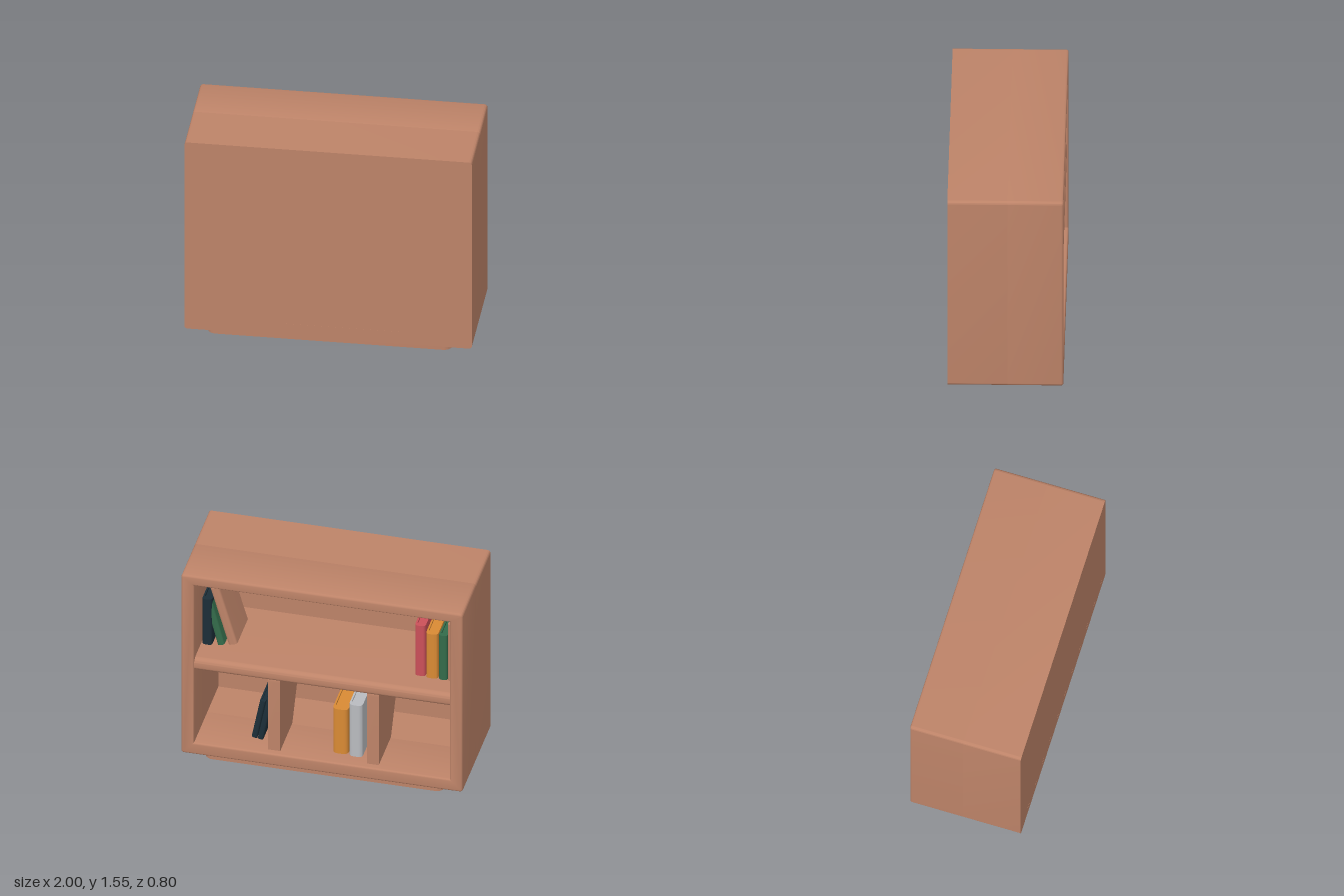
import * as THREE from 'three';
import { toCreasedNormals } from 'three/addons/utils/BufferGeometryUtils.js';

const mat = (name, color) => new THREE.MeshStandardMaterial({ name, color });

// Rounded rectangle traced counter-clockwise
function roundRect(target, x0, y0, x1, y1, r) {
  target.moveTo(x0 + r, y0);
  target.lineTo(x1 - r, y0);
  target.absarc(x1 - r, y0 + r, r, -Math.PI / 2, 0);
  target.lineTo(x1, y1 - r);
  target.absarc(x1 - r, y1 - r, r, 0, Math.PI / 2);
  target.lineTo(x0 + r, y1);
  target.absarc(x0 + r, y1 - r, r, Math.PI / 2, Math.PI);
  target.lineTo(x0, y0 + r);
  target.absarc(x0 + r, y0 + r, r, Math.PI, Math.PI * 1.5);
  return target;
}

function extrude(shape, depth, extra = {}) {
  const geo = new THREE.ExtrudeGeometry(shape, { depth, bevelEnabled: false, curveSegments: 6, ...extra });
  return toCreasedNormals(geo, 0.6);
}

export function createModel() {
  const wood = mat('brownWood', 0xbd8368);
  const navy = mat('navyCover', 0x1c2e38);
  const green = mat('greenCover', 0x336b4a);
  const red = mat('redCover', 0xcb5059);
  const orange = mat('orangeCover', 0xd98a34);
  const silver = mat('silverCover', 0xb9bbbf);

  const model = new THREE.Group();
  model.name = 'bookcase';
  const add = (name, geo, material, parent = model) => {
    const mesh = new THREE.Mesh(geo, material);
    mesh.name = name;
    parent.add(mesh);
    return mesh;
  };

  // Hollow case outline, optionally inset so a bevel restores its full size
  const frame = (inset) => {
    const shape = roundRect(new THREE.Shape(), -1 + inset, 0.055 + inset, 1 - inset, 1.55 - inset, 0.022 - inset);
    const hole = new THREE.Path();
    const [x, y0, y1] = [0.908 + inset, 0.15 - inset, 1.47 + inset];
    hole.moveTo(-x, y0);
    hole.lineTo(-x, y1);
    hole.lineTo(x, y1);
    hole.lineTo(x, y0);
    hole.closePath();
    shape.holes.push(hole);
    return shape;
  };

  // Case: softened rim round the opening, straight walls, closed panel
  const b = 0.015;
  const rim = extrude(frame(b), 0.4 - 2 * b, {
    bevelEnabled: true, bevelSize: b, bevelThickness: b, bevelSegments: 3,
  });
  add('caseRim', rim.translate(0, 0, -0.4 + b), wood);
  add('caseWalls', extrude(frame(0), 0.4 + b).translate(0, 0, -b), wood);
  add('closedPanel', new THREE.BoxGeometry(1.84, 1.36, 0.0995).translate(0, 0.81, 0.35), wood);

  // Plinth with rounded corners in plan
  const plinth = roundRect(new THREE.Shape(), -0.85, -0.35, 0.85, 0.35, 0.06);
  add('plinth', extrude(plinth, 0.06).rotateX(-Math.PI / 2), wood);

  // Shelf with a rounded exposed edge; section runs along z and y
  const shelf = new THREE.Shape();
  shelf.moveTo(0.32, 0.755);
  shelf.lineTo(0.32, 0.85);
  shelf.lineTo(-0.35, 0.85);
  shelf.absarc(-0.35, 0.81, 0.04, Math.PI / 2, Math.PI);
  shelf.lineTo(-0.39, 0.785);
  shelf.absarc(-0.36, 0.785, 0.03, Math.PI, Math.PI * 1.5);
  shelf.closePath();
  add('shelf', extrude(shelf, 1.83).rotateY(-Math.PI / 2).translate(0.915, 0, 0), wood);

  // Dividers cut away towards the bottom of the closed panel
  const divider = new THREE.Shape();
  divider.moveTo(-0.35, 0.145);
  divider.lineTo(-0.005, 0.145);
  divider.lineTo(0.31, 0.72);
  divider.lineTo(0.31, 0.77);
  divider.lineTo(-0.31, 0.77);
  divider.quadraticCurveTo(-0.35, 0.77, -0.35, 0.72);
  divider.closePath();
  for (const x of [-0.35, 0.35]) {
    add('divider', extrude(divider, 0.085).rotateY(-Math.PI / 2).translate(x + 0.0425, 0, 0), wood);
  }

  // Book: U-shaped cover with rounded spine, pages inset; lean tips the top
  function book(name, material, x, y, z, w, h, d, lean = 0) {
    const group = new THREE.Group();
    group.name = name;
    const t = 0.012, r = w * 0.35;
    const cover = new THREE.Shape();
    cover.moveTo(-w / 2, d);
    cover.lineTo(-w / 2, r);
    cover.quadraticCurveTo(-w / 2, 0, -w / 2 + r, 0);
    cover.lineTo(w / 2 - r, 0);
    cover.quadraticCurveTo(w / 2, 0, w / 2, r);
    cover.lineTo(w / 2, d);
    cover.lineTo(w / 2 - t, d);
    cover.lineTo(w / 2 - t, r + t);
    cover.lineTo(-w / 2 + t, r + t);
    cover.lineTo(-w / 2 + t, d);
    cover.closePath();
    add('cover', extrude(cover, h).rotateX(Math.PI / 2).translate(0, h, 0), material, group);
    const pages = new THREE.BoxGeometry(w - 2 * t, h - 0.03, d - r - t - 0.015);
    pages.translate(0, h / 2, (d + r + t - 0.015) / 2);
    add('pages', pages, material, group);
    group.rotation.z = lean;
    group.position.set(x, y + Math.abs(Math.sin(lean)) * w / 2, z);
    model.add(group);
  }

  const top = 0.85, floor = 0.15;
  // Upper shelf, +x end
  book('navyBook', navy, 0.865, top, -0.2, 0.07, 0.38, 0.3);
  book('greenLeaningBook', green, 0.768, top, -0.19, 0.05, 0.36, 0.3, -0.25);
  book('brownLeaningBook', wood, 0.69, top, -0.17, 0.065, 0.47, 0.31, -0.28);
  // Upper shelf, -x end
  book('redBook', red, -0.65, top, -0.21, 0.075, 0.42, 0.33);
  book('orangeBook', orange, -0.735, top, -0.22, 0.085, 0.37, 0.32);
  book('greenBook', green, -0.815, top, -0.22, 0.06, 0.37, 0.3);
  book('brownBook', wood, -0.876, top, -0.22, 0.055, 0.47, 0.32);
  // Lower compartments
  book('thickOrangeBook', orange, -0.1, floor, -0.28, 0.11, 0.37, 0.34);
  book('silverBook', silver, -0.212, floor, -0.29, 0.095, 0.43, 0.34);
  book('navyLeaningBookA', navy, 0.475, floor, -0.25, 0.04, 0.34, 0.31, 0.19);
  book('navyLeaningBookB', navy, 0.52, floor, -0.24, 0.04, 0.32, 0.31, 0.19);

  return model;
}
